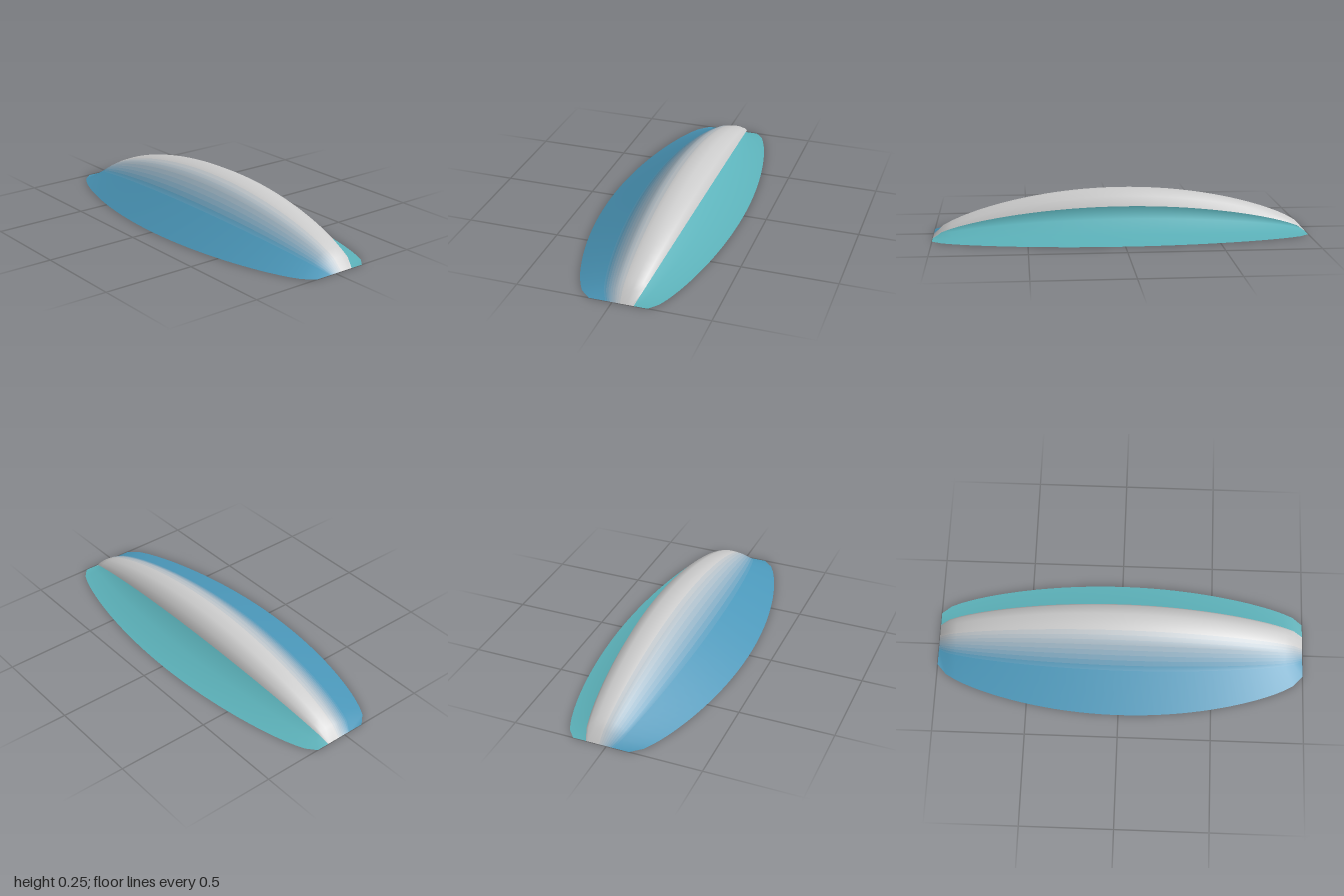
import * as THREE from 'three';

const COLUMNS = 40;   // steps along the width
const CENTRE_Z = -0.05; // the cross-section narrows towards this line

const BLUE = new THREE.Color(0x4a96b8);
const TEAL = new THREE.Color(0x5cb2ba);
const FOAM = new THREE.Color(0xcccccc);

// Sweep a [z, y] profile across x, lower and narrower towards both ends
function sweep(profile) {
  const positions = [];
  for (const [z, y] of profile) {
    for (let j = 0; j <= COLUMNS; j++) {
      const t = j / COLUMNS;
      const swell = Math.pow(Math.max(0, Math.sin(Math.PI * t)), 0.6);
      positions.push(2 * t - 1, y * swell, CENTRE_Z + (z - CENTRE_Z) * (0.4 + 0.6 * swell));
    }
  }
  const index = [];
  for (let i = 0; i < profile.length - 1; i++) {
    for (let j = 0; j < COLUMNS; j++) {
      const a = i * (COLUMNS + 1) + j, b = a + COLUMNS + 1;
      index.push(a, a + 1, b, a + 1, b + 1, b);
    }
  }
  const geometry = new THREE.BufferGeometry();
  geometry.setAttribute('position', new THREE.Float32BufferAttribute(positions, 3));
  geometry.setIndex(index);
  geometry.computeVertexNormals();
  return geometry;
}

// One coloured band of a swept sheet; shared normals keep the bands seamless
function band(name, sheet, firstRow, lastRow, color) {
  const geometry = new THREE.BufferGeometry();
  geometry.setAttribute('position', sheet.getAttribute('position'));
  geometry.setAttribute('normal', sheet.getAttribute('normal'));
  const perRow = COLUMNS * 6;
  geometry.setIndex(Array.from(sheet.index.array.slice(firstRow * perRow, lastRow * perRow)));
  const mesh = new THREE.Mesh(geometry, new THREE.MeshStandardMaterial({ color, side: THREE.DoubleSide }));
  mesh.name = name;
  return mesh;
}

// Points from a to b, without b
function divide([z0, y0], [z1, y1], steps) {
  return Array.from({ length: steps }, (_, k) => [z0 + (z1 - z0) * k / steps, y0 + (y1 - y0) * k / steps]);
}

export function createModel() {
  const group = new THREE.Group();
  group.name = 'wave';

  // Outer sheet: long slope, shoulder, crest and lip
  const slopeTop = [0.16, 0.115], shoulder = [0.025, 0.225], crestStart = [-0.05, 0.25];
  const blendRows = 9;
  const outer = sweep([
    [0.375, 0],
    ...divide(slopeTop, shoulder, 6),
    ...divide(shoulder, crestStart, 3),
    crestStart, [-0.115, 0.255], [-0.175, 0.225], [-0.2, 0.175],
  ]);
  group.add(band('outerSlope', outer, 0, 1, BLUE));

  // Shoulder fades from water to foam
  const shoulderGroup = new THREE.Group();
  shoulderGroup.name = 'shoulder';
  for (let i = 0; i < blendRows; i++) {
    const color = BLUE.clone().lerp(FOAM, (i + 0.5) / blendRows);
    shoulderGroup.add(band('shoulderBand', outer, 1 + i, 2 + i, color));
  }
  group.add(shoulderGroup);
  group.add(band('foamCrest', outer, 1 + blendRows, 4 + blendRows, FOAM));

  // Inner sheet: underside of the lip, hollow face and flat toe
  const inner = sweep([
    [-0.2, 0.175], [-0.15, 0.19], [-0.1, 0.18], [-0.068, 0.14],
    [-0.11, 0.087], [-0.225, 0.025], [-0.375, 0],
  ]);
  group.add(band('lipUnderside', inner, 0, 1, FOAM));
  group.add(band('hollowFace', inner, 1, 5, TEAL));
  group.add(band('toe', inner, 5, 6, TEAL));

  return group;
}
